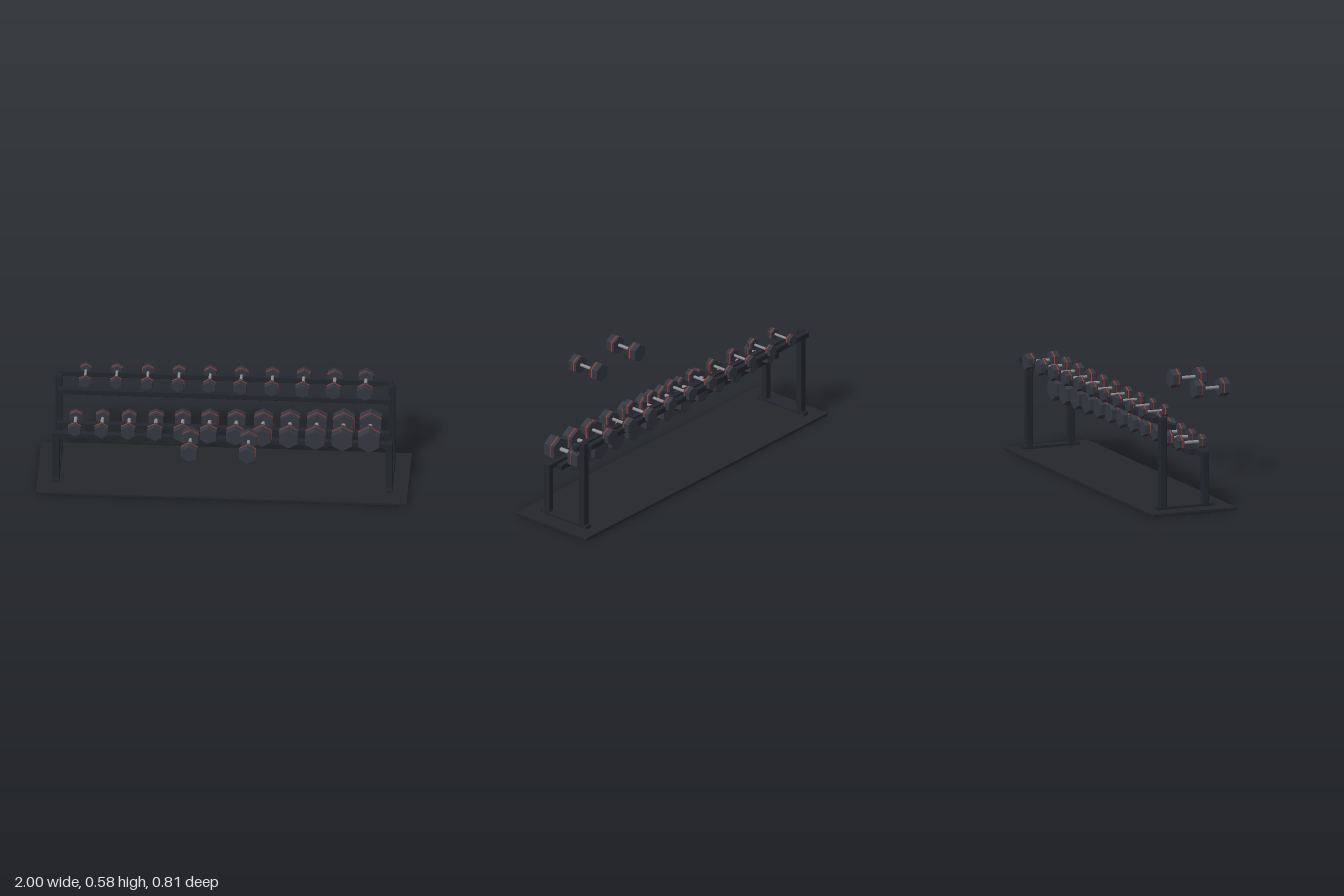
import * as THREE from 'three';
import { RoundedBoxGeometry } from 'three/addons/geometries/RoundedBoxGeometry.js';

const mat = (color, flatShading = false) => new THREE.MeshStandardMaterial({ color, flatShading });
const frameMat = mat(0x23262d);
const floorMat = mat(0x24262b);
const rubberMat = mat(0x343840, true);
const steelMat = mat(0x8a8c90);
const redMat = mat(0xc0392b, true);

function add(parent, name, geometry, material, x, y, z) {
  const mesh = new THREE.Mesh(geometry, material);
  mesh.name = name;
  mesh.position.set(x, y, z);
  parent.add(mesh);
  return mesh;
}

const bar = (w, h, d, r = 0.004) => new RoundedBoxGeometry(w, h, d, 2, r);

// Six-sided prism along z with a corner at the top and chamfered ends
function hexPrism(radius, length, chamfer) {
  const h = length / 2;
  const profile = [[0, -h], [radius - chamfer, -h], [radius, -h + chamfer],
    [radius, h - chamfer], [radius - chamfer, h], [0, h]].map(p => new THREE.Vector2(...p));
  return new THREE.LatheGeometry(profile, 6).rotateX(Math.PI / 2);
}

// Hex dumbbell lying along z: two heads with red bands, joined by a grip
function dumbbell(name, radius, headLength, gap, gripRadius) {
  const group = new THREE.Group();
  group.name = name;
  const grip = new THREE.CylinderGeometry(gripRadius, gripRadius, gap + 0.02, 16).rotateX(Math.PI / 2);
  add(group, 'grip', grip, steelMat, 0, 0, 0);
  for (const s of [-1, 1]) {
    add(group, 'hexHead', hexPrism(radius, headLength, 0.003), rubberMat, 0, 0, s * (gap + headLength) / 2);
    add(group, 'redBand', hexPrism(radius + 0.0008, 0.005, 0.0005), redMat, 0, 0, s * (gap / 2 + headLength * 0.3));
  }
  return group;
}

// Row of dumbbells growing steadily from -x to +x
function dumbbellRow(name, count, from, to, small, large) {
  const row = new THREE.Group();
  row.name = name;
  for (let i = 0; i < count; i++) {
    const t = i / (count - 1);
    const mix = key => THREE.MathUtils.lerp(small[key], large[key], t);
    const d = dumbbell('dumbbell', mix('radius'), mix('head'), 0.094, mix('grip'));
    d.position.set(THREE.MathUtils.lerp(from, to, t), mix('y'), mix('z'));
    row.add(d);
  }
  return row;
}

export function createModel() {
  const model = new THREE.Group();
  model.name = 'dumbbellRack';

  // Floor mat
  add(model, 'floorMat', bar(2, 0.017, 0.495, 0.003), floorMat, 0, 0.0115, -0.1575);

  // End frames: foot beam with caps, short front post, tall back post
  for (const s of [-1, 1]) {
    const end = new THREE.Group();
    end.name = s > 0 ? 'leftEndFrame' : 'rightEndFrame';
    const x = s * 0.898;
    add(end, 'footBeam', bar(0.034, 0.034, 0.324), frameMat, x, 0.02, -0.172);
    for (const z of [-0.01, -0.334]) add(end, 'footCap', bar(0.038, 0.04, 0.007, 0.002), frameMat, x, 0.02, z);
    add(end, 'frontPost', bar(0.037, 0.3, 0.037), frameMat, x, 0.17, -0.053);
    add(end, 'backPost', bar(0.037, 0.505, 0.037), frameMat, x, 0.2725, -0.301);
    model.add(end);
  }

  // Paired rails of the two tiers: [name, y, z]
  const rails = [
    ['lowerFrontRail', 0.302, -0.053], ['lowerBackRail', 0.32, -0.129],
    ['upperFrontRail', 0.465, -0.237], ['upperBackRail', 0.512, -0.343],
  ];
  for (const [name, y, z] of rails) add(model, name, bar(1.8, 0.031, 0.031, 0.002), frameMat, 0, y, z);

  // Dumbbells on the rails
  model.add(dumbbellRow('upperDumbbells', 10, -0.755, 0.755,
    { radius: 0.034, head: 0.033, grip: 0.007, y: 0.532, z: -0.29 },
    { radius: 0.046, head: 0.048, grip: 0.009, y: 0.529, z: -0.29 }));
  model.add(dumbbellRow('lowerDumbbells', 12, -0.798, 0.79,
    { radius: 0.039, head: 0.037, grip: 0.009, y: 0.353, z: -0.094 },
    { radius: 0.0675, head: 0.072, grip: 0.0115, y: 0.3625, z: -0.094 }));

  // Loose pair held in front of the rack
  for (const s of [-1, 1]) {
    const d = dumbbell(s > 0 ? 'leftLooseDumbbell' : 'rightLooseDumbbell', 0.0515, 0.054, 0.095, 0.009);
    d.position.set(s * 0.157, 0.5, 0.304);
    model.add(d);
  }
  return model;
}
